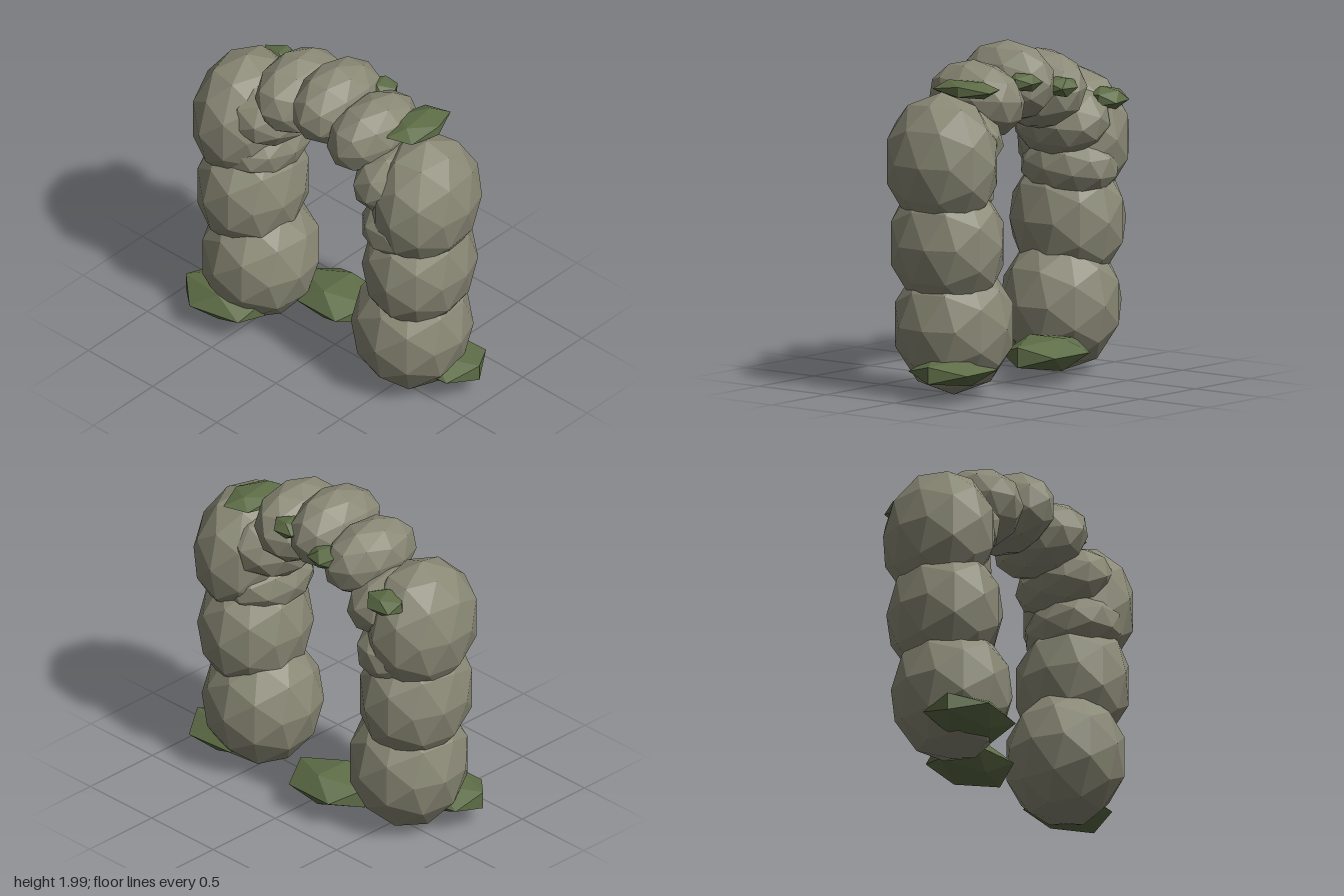
import * as THREE from 'three';

const stoneMat = new THREE.MeshStandardMaterial({ color: 0x8a8976, flatShading: true });
stoneMat.name = 'greyStone';
const mossMat = new THREE.MeshStandardMaterial({ color: 0x5e6d47, flatShading: true });
mossMat.name = 'greenMoss';

// Faceted ball, turned about y, then stretched to the given half sizes
function blob(name, mat, detail, pos, half, turn) {
  const geo = new THREE.IcosahedronGeometry(1, detail);
  geo.rotateY(turn);
  geo.scale(...half);
  geo.computeVertexNormals();
  const mesh = new THREE.Mesh(geo, mat);
  mesh.name = name;
  mesh.position.set(...pos);
  return mesh;
}

export function createModel() {
  const model = new THREE.Group();
  model.name = 'stoneArch';

  // Two pillars of three boulders each, leaning slightly outward
  const tiers = [
    { x: 0.545, y: 0.42, rx: 0.345, turn: 0.12 },
    { x: 0.605, y: 0.895, rx: 0.308, turn: 0.2 },
    { x: 0.655, y: 1.37, rx: 0.285, turn: 0.15 },
  ];
  for (const side of [-1, 1]) {
    const pillar = new THREE.Group();
    pillar.name = side > 0 ? 'leftPillar' : 'rightPillar';
    const z = side > 0 ? -0.065 : 0.03;
    for (const t of tiers) {
      pillar.add(blob('pillarBoulder', stoneMat, 1,
        [side * t.x - 0.005, t.y, z], [t.rx, 0.408, 0.363], side * t.turn));
    }
    model.add(pillar);
  }

  // Seven stones on a half circle form the arch
  const arch = new THREE.Group();
  arch.name = 'arch';
  for (let i = -3; i <= 3; i++) {
    const a = i * Math.PI / 6;
    const stone = blob('archStone', stoneMat, 1,
      [Math.sin(a) * 0.56 - 0.005, 1.21 + Math.cos(a) * 0.55, -0.02],
      [0.205, 0.24, 0.315], 0.1 * i);
    stone.rotation.z = -a;
    arch.add(stone);
  }
  model.add(arch);

  // Moss clumps: position, half sizes, turn, tilt
  const moss = new THREE.Group();
  moss.name = 'moss';
  const clumps = [
    [[-0.635, 0.175, 0.24], [0.265, 0.085, 0.19], 0.3, 0],
    [[-0.15, 0.185, -0.185], [0.26, 0.095, 0.195], 0, 0],
    [[0.69, 0.18, -0.18], [0.25, 0.08, 0.195], 0.1, 0],
    [[0.52, 1.785, -0.14], [0.125, 0.048, 0.195], 0.2, 0],
    [[0.13, 1.79, -0.25], [0.1, 0.05, 0.085], 0.2, 0],
    [[-0.18, 1.73, -0.27], [0.1, 0.055, 0.085], -0.2, 0],
    [[-0.64, 1.61, -0.245], [0.12, 0.055, 0.09], 0.2, -0.2],
  ];
  for (const [pos, half, turn, tilt] of clumps) {
    const clump = blob('mossClump', mossMat, 0, pos, half.map((h) => h / 0.85), Math.PI / 2 + turn);
    clump.rotation.x = tilt;
    moss.add(clump);
  }
  model.add(moss);

  return model;
}
